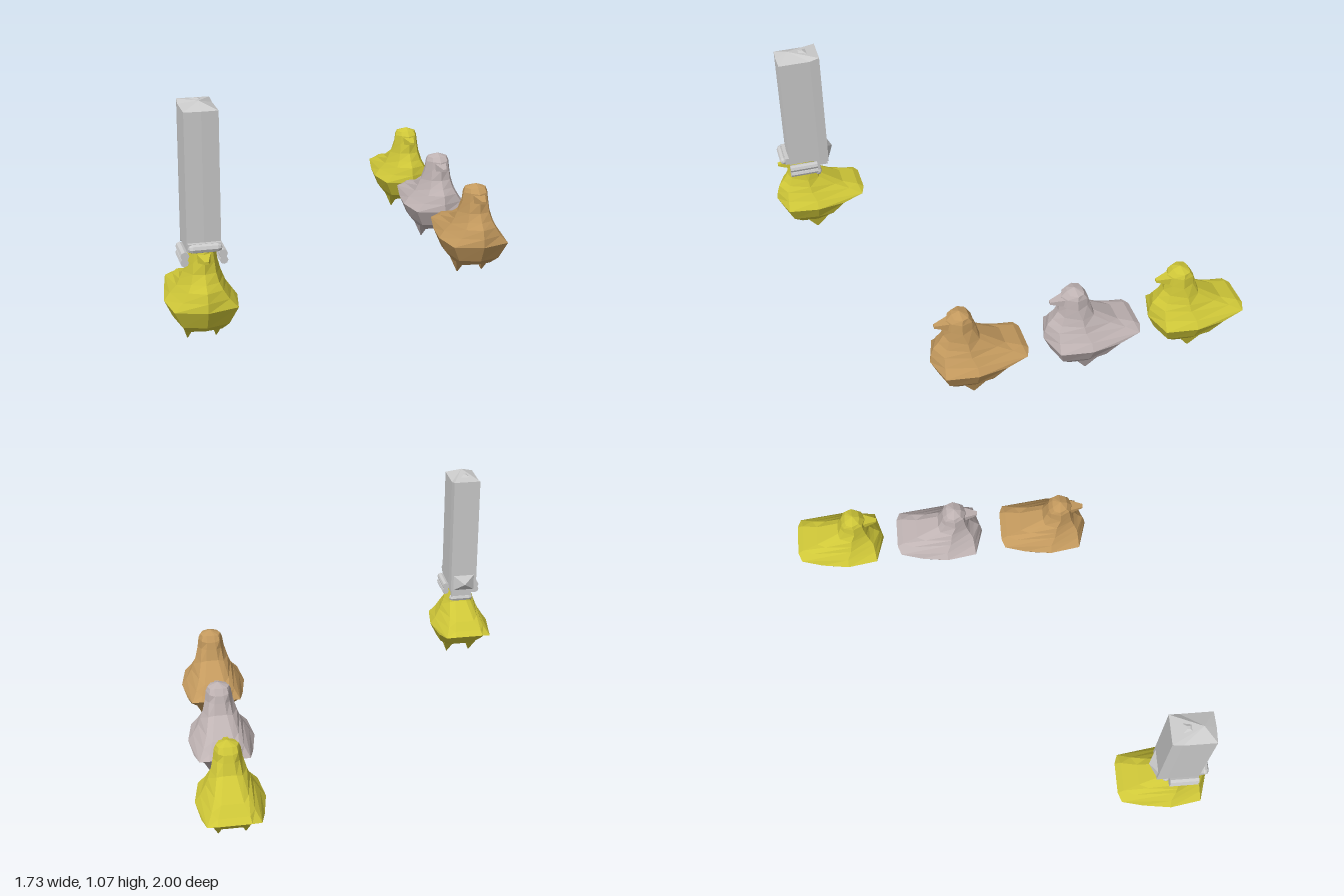
import * as THREE from 'three';

const paint = (color) => new THREE.MeshStandardMaterial({ color, flatShading: true, side: THREE.DoubleSide });

function part(name, geometry, material, x = 0, y = 0, z = 0) {
  const mesh = new THREE.Mesh(geometry, material);
  mesh.name = name;
  mesh.position.set(x, y, z);
  return mesh;
}

// Body cross-sections, bottom to top; each is the +x half from front to back as [x, y, z]
const RINGS = [
  [[0, .07, .115], [.075, .06, .08], [.09, .065, 0], [.08, .07, -.05], [.04, .07, -.06]],
  [[0, .10, .155], [.10, .10, .125], [.125, .107, 0], [.12, .11, -.08], [.05, .11, -.13]],
  [[0, .18, .192], [.137, .18, .15], [.16, .18, 0], [.14, .18, -.14], [.07, .18, -.19]],
  [[0, .22, .187], [.10, .22, .145], [.135, .215, 0], [.12, .205, -.243], [.075, .215, -.26]],
  [[0, .26, .175], [.075, .26, .14], [.108, .255, .02], [.095, .235, -.18], [.07, .235, -.23]],
  [[0, .29, .15], [.06, .29, .125], [.095, .285, .025], [.075, .265, -.11], [.05, .255, -.155]],
  [[0, .33, .125], [.05, .33, .11], [.082, .32, .03], [.058, .318, -.03], [.03, .327, -.038]],
  [[0, .38, .12], [.045, .38, .10], [.067, .37, .05], [.05, .38, 0], [.025, .38, -.02]],
  [[0, .42, .11], [.04, .425, .095], [.06, .42, .05], [.045, .42, 0], [.02, .415, -.01]],
  [[0, .447, .085], [.035, .443, .08], [.052, .443, .045], [.04, .443, .015], [.02, .445, .01]],
];

// Skin over mirrored cross-sections, closed with a fan at each end
function loft(halves, bottom, top) {
  const rings = halves.map((h) => [...h, ...h.slice(1).reverse().map(([x, y, z]) => [-x, y, z])]);
  const n = rings[0].length;
  const index = [];
  const last = (rings.length - 1) * n;
  const low = rings.length * n;
  for (let j = 0; j < n; j++) {
    const k = (j + 1) % n;
    for (let o = 0; o < last; o += n) {
      index.push(o + j, o + k, o + n + k, o + j, o + n + k, o + n + j);
    }
    index.push(low, k, j, low + 1, last + j, last + k);
  }
  const geometry = new THREE.BufferGeometry();
  geometry.setAttribute('position', new THREE.Float32BufferAttribute([...rings.flat(2), ...bottom, ...top], 3));
  geometry.setIndex(index);
  geometry.computeVertexNormals();
  return geometry;
}

// Square-based pyramid with half side 1 and height 1, pointing up
const pyramid = (tip = 0) => new THREE.CylinderGeometry(tip * Math.SQRT2, Math.SQRT2, 1, 4).rotateY(Math.PI / 4);

function makeBird(name, color) {
  const bird = new THREE.Group();
  bird.name = name;
  const mat = paint(color);
  bird.add(part('body', loft(RINGS, [0, .065, .03], [0, .462, .05]), mat));
  bird.add(part('beak', pyramid(.3).rotateX(Math.PI / 2).scale(.03, .02, .07), mat, 0, .397, .133));
  for (const s of [1, -1]) {
    bird.add(part(s > 0 ? 'leftFoot' : 'rightFoot',
      pyramid(.06).rotateX(Math.PI).scale(.028, .08, .058), mat, s * .063, .04, 0));
  }
  return bird;
}

function makeHat() {
  const hat = new THREE.Group();
  hat.name = 'tallHat';
  const mat = paint(0xcccccc);

  // Tall crown with a shallow ridged top
  const crown = [.435, 1.035].map((y) =>
    [[0, y, .118], [.073, y, .115], [.073, y, .03], [.073, y, -.04], [.07, y + (y > 1 ? .012 : -.02), -.088]]);
  hat.add(part('crown', loft(crown, [0, .43, .02], [0, 1.068, .06]), mat));
  hat.add(part('crownRidge', pyramid(.1).scale(.065, .035, .07), mat, 0, 1.047, -.01));

  // Rolled front brim
  const roll = (r, length) => new THREE.CapsuleGeometry(r, length - 2 * r, 2, 8);
  hat.add(part('frontBrim', roll(.019, .146).rotateZ(Math.PI / 2), mat, 0, .455, .142));
  hat.add(part('brimBase', new THREE.BoxGeometry(.14, .035, .04), mat, 0, .455, .115));

  // Paired rolls over each ear
  for (const s of [1, -1]) {
    const side = s > 0 ? 'left' : 'right';
    hat.add(part(side + 'UpperRoll', new THREE.CylinderGeometry(.019, .019, .14, 8).rotateX(Math.PI / 2), mat, s * .082, .415, .045));
    hat.add(part(side + 'LowerRoll', new THREE.CylinderGeometry(.018, .018, .14, 8).rotateX(Math.PI / 2), mat, s * .084, .386, .045));
  }

  // Neck guard at the back: pointed flap, block and roll
  hat.add(part('backFlap', pyramid().rotateX(-Math.PI / 2).scale(.066, .05, .04), mat, 0, .462, -.102));
  hat.add(part('neckBlock', new THREE.BoxGeometry(.13, .05, .065), mat, 0, .422, -.05));
  hat.add(part('neckRoll', roll(.019, .13).rotateZ(Math.PI / 2), mat, 0, .347, -.032));
  hat.add(part('neckPanel', new THREE.BoxGeometry(.11, .07, .02), mat, 0, .382, -.034));
  return hat;
}

export function createModel() {
  const model = new THREE.Group();
  model.name = 'birdParade';
  const olive = 0xcfc738;
  const birds = [
    ['leaderBird', olive, -.707, .803],
    ['brownBird', 0xc49a5e, .705, .335],
    ['greyBird', 0xbfb3b3, .705, -.215],
    ['oliveBird', olive, .705, -.74],
  ];
  for (const [name, color, x, z] of birds) {
    const bird = makeBird(name, color);
    bird.position.set(x, 0, z);
    if (name === 'leaderBird') bird.add(makeHat());
    model.add(bird);
  }
  return model;
}
